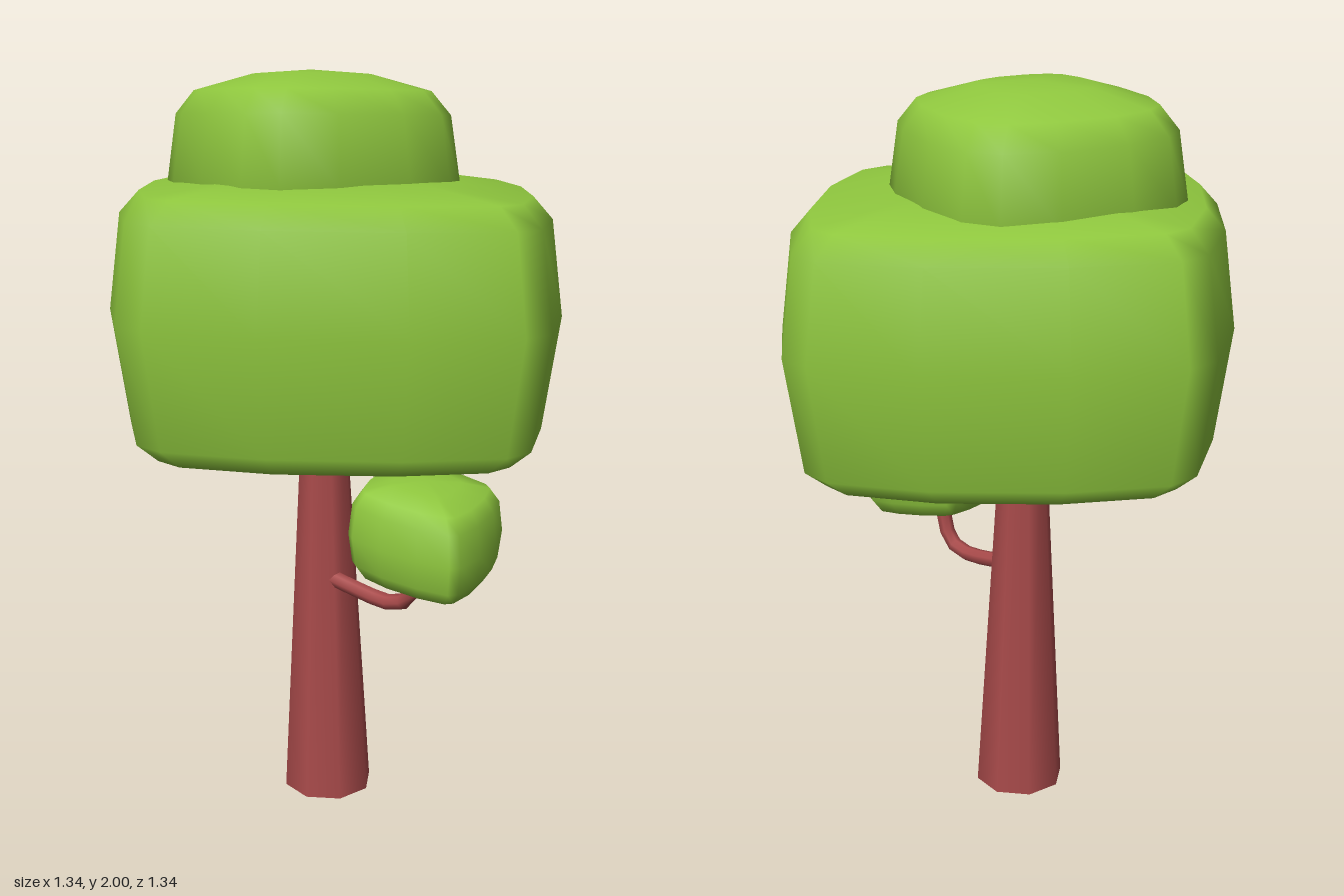
import * as THREE from 'three';
import { mergeVertices } from 'three/addons/utils/BufferGeometryUtils.js';

// Rounded four-cornered blob: a quarter outline repeated four times,
// stacked as rings of [y, scale], with a slight tilt along x and z.
function blobGeometry(quarter, rings, tiltX, tiltZ) {
  const outline = [];
  for (let q = 0; q < 4; q++) {
    for (let [x, z] of quarter) {
      for (let k = 0; k < q; k++) [x, z] = [-z, x];
      outline.push([x, z]);
    }
  }
  const n = outline.length, positions = [], index = [];
  rings.forEach(([y, s], r) => {
    for (const [x, z] of outline) {
      positions.push(x * s, y + s * (tiltX * x + tiltZ * z), z * s);
    }
    if (r === 0) return;
    for (let i = 0; i < n; i++) {
      const j = (i + 1) % n, a = (r - 1) * n, b = r * n;
      if (rings[r][1] > 0) index.push(a + i, b + i, b + j);
      if (rings[r - 1][1] > 0) index.push(a + i, b + j, a + j);
    }
  });
  const geo = new THREE.BufferGeometry();
  geo.setAttribute('position', new THREE.Float32BufferAttribute(positions, 3));
  geo.setIndex(index);
  const merged = mergeVertices(geo, 1e-4);
  merged.computeVertexNormals();
  return merged;
}

export function createModel() {
  const tree = new THREE.Group();
  tree.name = 'tree';
  const leaf = new THREE.MeshStandardMaterial({ color: 0x8fc73e });
  leaf.name = 'leafGreen';
  const bark = new THREE.MeshStandardMaterial({ color: 0xa84a4a, side: THREE.DoubleSide });
  bark.name = 'barkRed';

  const add = (name, geometry, material, x = 0, y = 0, z = 0) => {
    const mesh = new THREE.Mesh(geometry, material);
    mesh.name = name;
    mesh.position.set(x, y, z);
    tree.add(mesh);
    return mesh;
  };

  // Main canopy
  const canopyQuarter = [[0.155, -0.668], [0.25, -0.64], [0.425, -0.425], [0.59, -0.115]];
  add('canopy', blobGeometry(canopyQuarter, [
    [1.03, 0], [1.035, 0.5], [1.05, 0.84], [1.1, 0.93], [1.4, 1],
    [1.645, 0.945], [1.7, 0.86], [1.73, 0.5], [1.74, 0],
  ], 0.005, 0.04), leaf);

  // Rounder crown on top
  const crownQuarter = [[-0.125, -0.37], [-0.025, -0.388], [0.115, -0.345], [0.275, -0.235]];
  add('crown', blobGeometry(crownQuarter, [
    [1.6, 0], [1.6, 0.85], [1.71, 1], [1.885, 0.93], [1.945, 0.8], [1.987, 0.4], [1.998, 0],
  ], 0.03, 0.07), leaf, -0.075, 0, 0);

  // Small leaf clump, corners turned to the diagonals
  const c = Math.cos(0.47) * 0.3, s = Math.sin(0.47) * 0.3;
  const clumpQuarter = canopyQuarter.map(([x, z]) => [x * c - z * s, x * s + z * c]);
  add('leafClump', blobGeometry(clumpQuarter, [
    [-0.125, 0], [-0.122, 0.5], [-0.112, 0.82], [-0.075, 0.95], [0, 1],
    [0.08, 0.95], [0.115, 0.82], [0.132, 0.45], [0.138, 0],
  ], -0.13, -0.06), leaf, 0.34, 0.855, 0.14);

  // Tapered trunk, open at the ends and leaning slightly
  const trunk = new THREE.CylinderGeometry(0.062, 0.125, 1.1, 8, 1, true);
  trunk.translate(0, 0.55, 0);
  const p = trunk.attributes.position;
  for (let i = 0; i < p.count; i++) p.setX(i, p.getX(i) - 0.01 * p.getY(i));
  add('trunk', trunk, bark, -0.015, 0, 0.025);

  // Curved side branch
  const path = new THREE.CatmullRomCurve3([
    [0.02, 0.647, 0.07], [0.12, 0.63, 0.085], [0.22, 0.623, 0.105],
    [0.275, 0.645, 0.115], [0.3, 0.7, 0.12], [0.308, 0.77, 0.122],
  ].map((v) => new THREE.Vector3(...v)));
  add('branch', new THREE.TubeGeometry(path, 8, 0.022, 7), bark);

  return tree;
}
